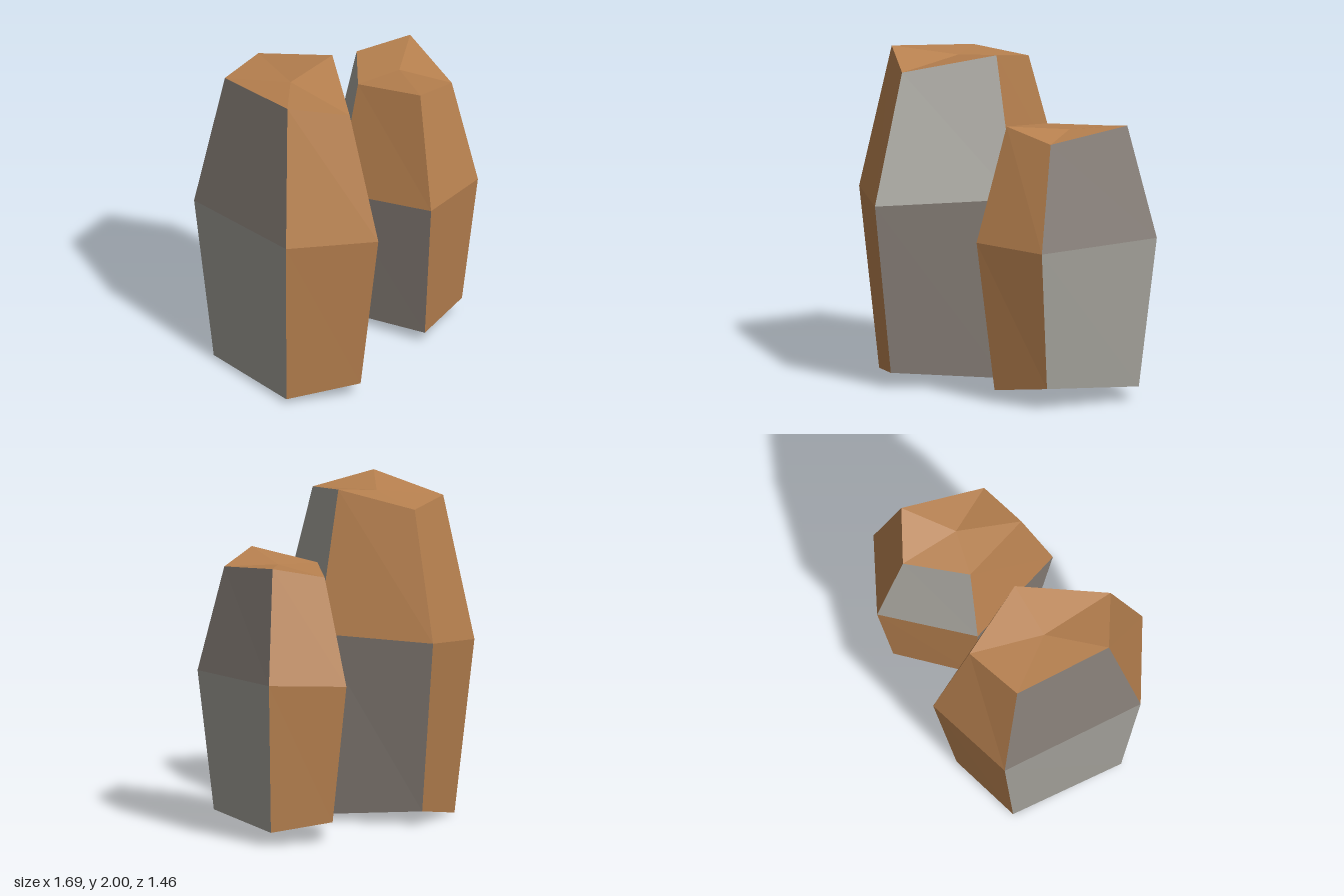
import * as THREE from 'three';

const mat = (color) => new THREE.MeshStandardMaterial({ color, flatShading: true });

// A faceted stone from three five-point rings (base, waist, crown).
// Colour codes: 0 brown, 1 light grey, 2 dark grey, one per side of each band.
function stone(name, rings, bands, baseColor, materials) {
  const buckets = [[], [], []];
  const n = rings[0].length;
  const centre = (ring) => [0, 1, 2].map((k) => ring.reduce((s, p) => s + p[k], 0) / n);
  const tri = (c, ...pts) => buckets[c].push(...pts.flat());
  const [base, , crown] = rings;
  const low = centre(base), high = centre(crown);

  for (let i = 0; i < n; i++) {
    const j = (i + 1) % n;
    // Lower and upper sides
    bands.forEach((codes, b) => {
      const lo = rings[b], up = rings[b + 1];
      tri(codes[i], lo[i], up[i], up[j]);
      tri(codes[i], lo[i], up[j], lo[j]);
    });
    // Underside and top
    tri(baseColor, low, base[i], base[j]);
    tri(0, high, crown[j], crown[i]);
  }

  const geometry = new THREE.BufferGeometry();
  geometry.setAttribute('position', new THREE.Float32BufferAttribute(buckets.flat(), 3));
  let start = 0;
  buckets.forEach((b, i) => {
    geometry.addGroup(start, b.length / 3, i);
    start += b.length / 3;
  });
  geometry.computeVertexNormals();
  const mesh = new THREE.Mesh(geometry, materials);
  mesh.name = name;
  return mesh;
}

export function createModel() {
  const group = new THREE.Group();
  group.name = 'standingStones';
  const materials = [mat(0xb98250), mat(0xa5a39c), mat(0x857d76)];

  // Tall stone
  group.add(stone('tallStone', [
    [[-0.76, 0.005, -0.29], [-0.36, 0.09, -0.5], [-0.02, 0.045, -0.04], [-0.28, 0.1, 0.59], [-0.695, 0.035, 0.42]],
    [[-0.845, 1.06, -0.375], [-0.335, 1.13, -0.64], [0.08, 1.15, -0.055], [-0.24, 1.135, 0.725], [-0.76, 1.145, 0.52]],
    [[-0.71, 1.93, -0.245], [-0.365, 1.905, -0.42], [-0.09, 2.0, -0.03], [-0.3, 1.915, 0.5], [-0.65, 2.0, 0.36]],
  ], [[0, 2, 2, 0, 1], [0, 0, 1, 0, 2]], 0, materials));

  // Short stone
  group.add(stone('shortStone', [
    [[0.14, 0.055, -0.2], [0.4, 0.13, -0.62], [0.77, 0.09, -0.5], [0.73, 0.135, 0.115], [0.375, 0.08, 0.265]],
    [[0.06, 0.91, -0.21], [0.38, 0.965, -0.73], [0.845, 1.0, -0.58], [0.795, 0.975, 0.19], [0.35, 0.985, 0.375]],
    [[0.2, 1.62, -0.205], [0.41, 1.605, -0.555], [0.72, 1.675, -0.45], [0.69, 1.61, 0.065], [0.39, 1.68, 0.19]],
  ], [[0, 0, 1, 0, 2], [1, 0, 2, 0, 0]], 2, materials));

  return group;
}
